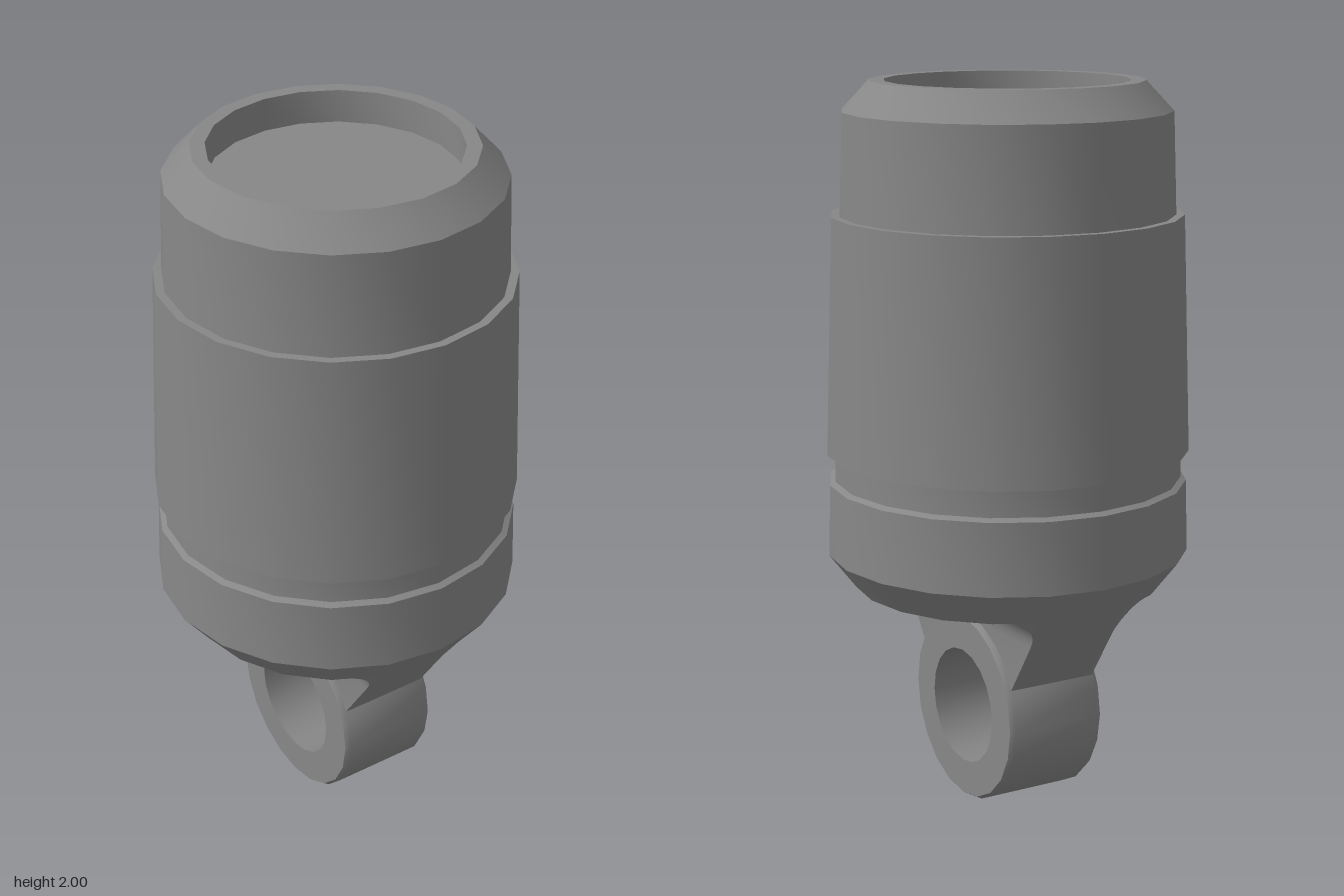
import * as THREE from 'three';
import { toCreasedNormals } from 'three/addons/utils/BufferGeometryUtils.js';

const SIDES = 20;
const material = new THREE.MeshStandardMaterial({ color: 0x878787 });

function addMesh(group, name, geometry, crease = 0.45) {
  const mesh = new THREE.Mesh(toCreasedNormals(geometry, crease), material);
  mesh.name = name;
  group.add(mesh);
  return mesh;
}

function lathe(profile) {
  return new THREE.LatheGeometry(profile.map(([r, y]) => new THREE.Vector2(r, y)), SIDES);
}

// Radius of the lower cone, which the web continues downwards
const coneRadius = (y) => 0.5 - (0.715 - y) * 0.776;

// z of the faceted cone above a given x
function coneDepth(x, r) {
  const step = (2 * Math.PI) / SIDES;
  const a = Math.abs(x) / r;
  let i = 0;
  while (Math.sin((i + 1) * step) < a) i++;
  const x0 = Math.sin(i * step), x1 = Math.sin((i + 1) * step);
  const t = (a - x0) / (x1 - x0);
  return r * THREE.MathUtils.lerp(Math.cos(i * step), Math.cos((i + 1) * step), t);
}

// Web: cone sections trimmed to a width that flares out in a fillet at the top,
// with ends that flatten towards the ring
function webGeometry(ringY) {
  const half = 0.13, filletX = 0.09, filletY = 0.09, top = 0.621, bottom = 0.378;
  const levels = [];
  for (let i = 0; i <= 6; i++) {
    const a = (i / 6) * Math.PI / 2;
    levels.push([top - filletY * (1 - Math.cos(a)), half + filletX * (1 - Math.sin(a))]);
  }
  levels.push([bottom, half]);

  const sideSteps = 10;
  const positions = [], index = [];
  let count = 0;
  levels.forEach(([y, w], row) => {
    const r = coneRadius(y);
    const m = Math.min(w, r * Math.sin(2 * Math.PI / SIDES));
    const flat = (top - y) / (top - bottom);
    const depth = (x) => THREE.MathUtils.lerp(coneDepth(x, r), r, flat);
    const zEnd = depth(w);
    const loop = [];
    for (const s of [1, -1]) {
      for (const x of [-w, -m, 0, m]) loop.push([s * x, s * depth(x)]);
      for (let i = 0; i < sideSteps; i++) loop.push([s * w, s * zEnd * (1 - (2 * i) / sideSteps)]);
    }
    count = loop.length;
    for (const [x, z] of loop) {
      // the lowest edge stays inside the ring wall, clear of the hole
      const low = ringY + Math.sqrt(Math.max(0, 0.21 ** 2 - z * z));
      positions.push(x, row === levels.length - 1 ? Math.max(y, low) : y, z);
    }
  });
  for (let j = 0; j < levels.length - 1; j++) {
    for (let i = 0; i < count; i++) {
      const a = j * count + i, b = j * count + (i + 1) % count;
      index.push(a, a + count, b, b, a + count, b + count);
    }
  }
  const geometry = new THREE.BufferGeometry();
  geometry.setAttribute('position', new THREE.Float32BufferAttribute(positions, 3));
  geometry.setIndex(index);
  return geometry;
}

export function createModel() {
  const group = new THREE.Group();
  const ringY = 0.268;

  // Stepped body with groove, chamfered top and shallow recess
  addMesh(group, 'body', lathe([
    [0, 0.62], [coneRadius(0.62), 0.62], [0.5, 0.715], [0.494, 0.913],
    [0.479, 0.922], [0.478, 0.997], [0.5, 0.997], [0.478, 1.645],
    [0.455, 1.645], [0.445, 1.92], [0.37, 2], [0.33, 2], [0.33, 1.91], [0, 1.91],
  ]));

  // Web joining body and ring
  addMesh(group, 'web', webGeometry(ringY));

  // Mounting ring with softened outer edges, its hole running along x
  const ring = lathe([
    [0.163, -0.145], [0.26, -0.145], [0.268, -0.132],
    [0.268, 0.132], [0.26, 0.145], [0.163, 0.145], [0.163, -0.145],
  ]);
  ring.rotateZ(Math.PI / 2);
  addMesh(group, 'mountingRing', ring, 0.65).position.y = ringY;

  return group;
}
